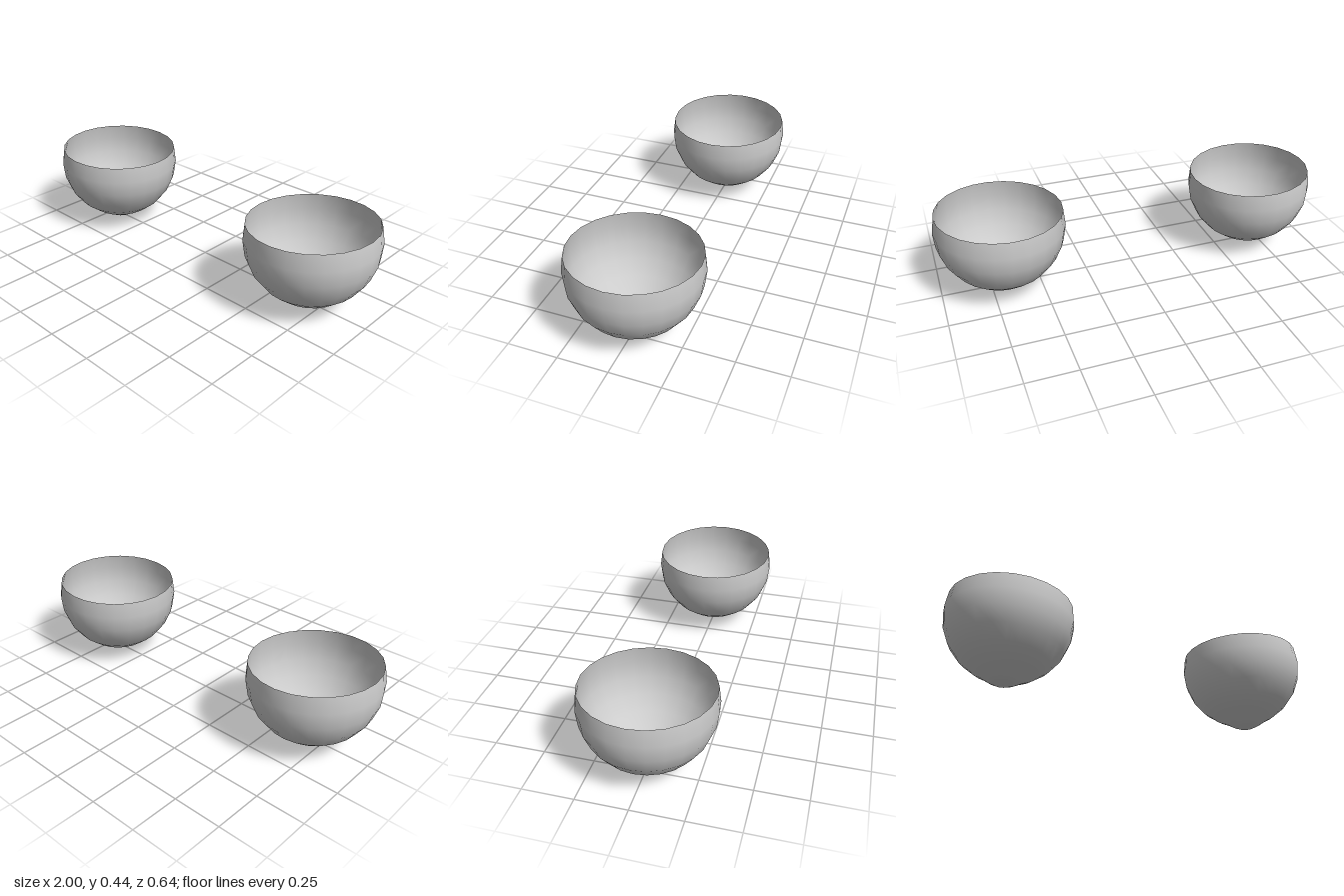
import * as THREE from 'three';

// Profile from the rounded tip up to the slightly drawn-in rim
const PROFILE = [
  [0, 0], [0.045, 0.007], [0.078, 0.023], [0.12, 0.05], [0.163, 0.073],
  [0.228, 0.123], [0.28, 0.19], [0.312, 0.268], [0.322, 0.35], [0.311, 0.432],
].map(([r, y]) => new THREE.Vector2(r, y));

export function createModel() {
  const model = new THREE.Group();
  model.name = 'cupPair';

  // Thin open shell, seen from inside and outside
  const shell = new THREE.LatheGeometry(PROFILE, 24);
  const material = new THREE.MeshStandardMaterial({ color: 0xcccccc, side: THREE.DoubleSide });

  // Mirrored pair, each leaning slightly towards the middle
  for (const side of [1, -1]) {
    const cup = new THREE.Mesh(shell, material);
    cup.name = side > 0 ? 'leftCup' : 'rightCup';
    cup.position.set(side * 0.692, 0.001, 0);
    cup.rotation.z = side * 0.04;
    model.add(cup);
  }
  return model;
}
